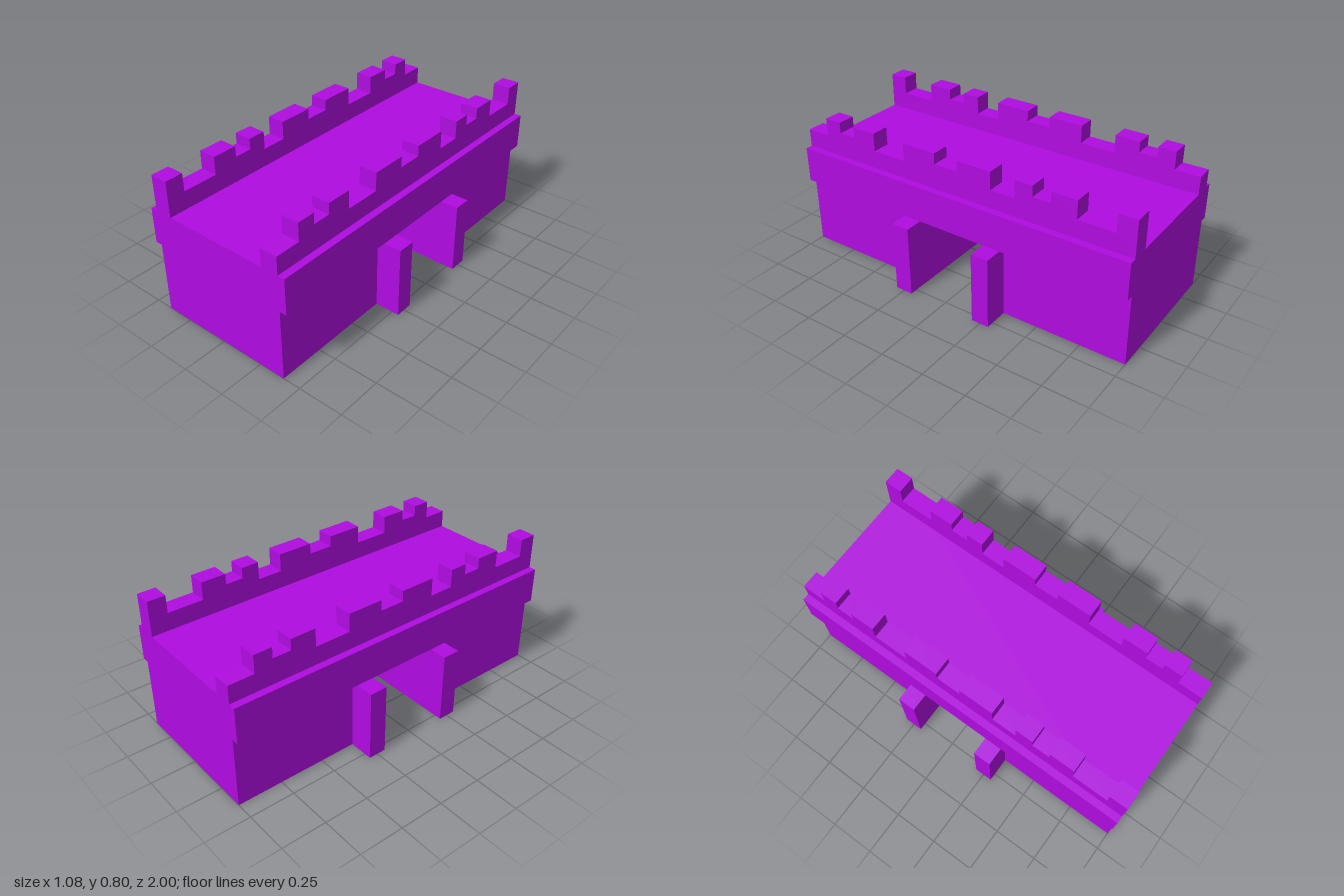
import * as THREE from 'three';

const material = new THREE.MeshStandardMaterial({ color: 0xb00ce0, flatShading: true });

// Box given by its lower and upper limits on each axis
function block(name, [x0, x1], [y0, y1], [z0, z1]) {
  const mesh = new THREE.Mesh(new THREE.BoxGeometry(x1 - x0, y1 - y0, z1 - z0), material);
  mesh.name = name;
  mesh.position.set((x0 + x1) / 2, (y0 + y1) / 2, (z0 + z1) / 2);
  return mesh;
}

// Gaps in the battlement, front to back: [front z, back z, floor height]
const gaps = [
  [1, 0.86, 0.7], [0.76, 0.66, 0.74], [0.52, 0.32, 0.7], [0.12, -0.02, 0.74],
  [-0.22, -0.36, 0.7], [-0.46, -0.56, 0.74], [-0.7, -0.9, 0.7],
];

// Crenellated wall: side profile extruded across its thickness
function parapetGeometry() {
  const base = 0.6, top = 0.8, inner = 0.3, thickness = 0.1;
  const outline = [[1, base], [-1, base], [-1, top]];
  for (const [front, back, floor] of [...gaps].reverse()) {
    outline.push([back, top], [back, floor], [front, floor]);
    if (front < 1) outline.push([front, top]);
  }
  const shape = new THREE.Shape(outline.map(([z, y]) => new THREE.Vector2(-z, y)));
  return new THREE.ExtrudeGeometry(shape, { depth: thickness, bevelEnabled: false })
    .rotateY(Math.PI / 2)
    .translate(inner, 0, 0);
}

export function createModel() {
  const model = new THREE.Group();
  model.name = 'bridge';

  // Roadway slab
  model.add(block('deck', [-0.44, 0.44], [0.4, 0.6], [-1, 1]));

  // Solid piers either side of the passage
  model.add(block('frontPier', [-0.4, 0.4], [0, 0.4], [0.2, 1]));
  model.add(block('backPier', [-0.4, 0.4], [0, 0.4], [-1, -0.2]));

  // Buttresses flanking the passage
  for (const [side, x] of [['left', [0.4, 0.54]], ['right', [-0.54, -0.4]]]) {
    model.add(block(side + 'FrontButtress', x, [0, 0.4], [0.2, 0.3]));
    model.add(block(side + 'BackButtress', x, [0, 0.4], [-0.3, -0.2]));
  }

  // Parapets: the second is the first turned half way round
  const geometry = parapetGeometry();
  ['leftParapet', 'rightParapet'].forEach((name, i) => {
    const wall = new THREE.Mesh(geometry, material);
    wall.name = name;
    wall.rotation.y = i * Math.PI;
    model.add(wall);
  });

  return model;
}
